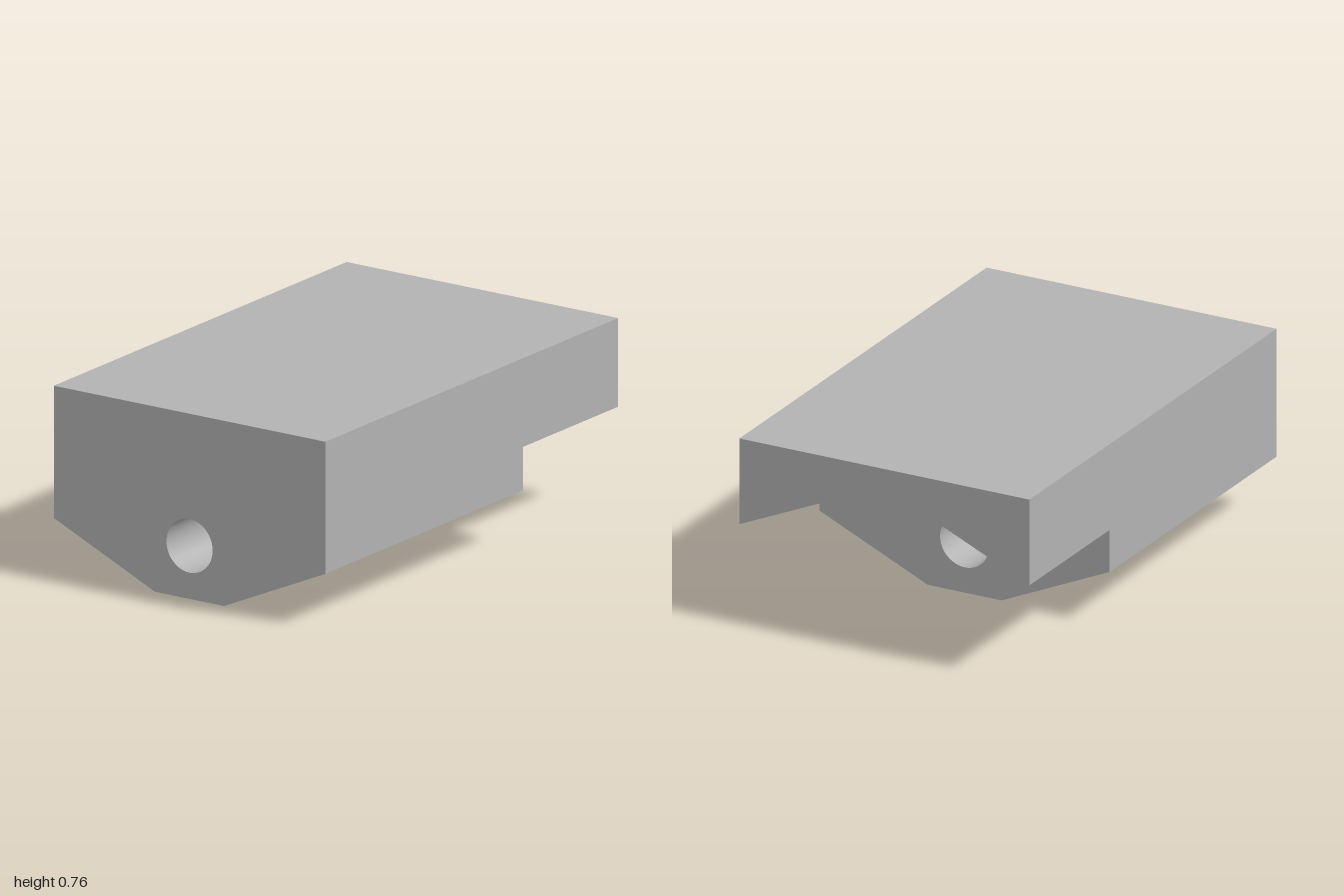
import * as THREE from 'three';
import { mergeGeometries, toCreasedNormals } from 'three/addons/utils/BufferGeometryUtils.js';

const W = 0.648, TOP = 0.758, LEDGE = 0.395;   // half width, top, underside of the overhang
const FRONT = 1, STEP = -0.35, BACK = -1;      // z of the three end faces
const HOLE_Y = 0.217, HOLE_R = 0.11, ARCH_R = 0.426;

const v = (x, y) => new THREE.Vector2(x, y);

// Open wall swept along z; its outside lies to the right of the path
function wall(points, z0, z1) {
  const pos = [];
  for (let i = 0; i < points.length - 1; i++) {
    const a = points[i], b = points[i + 1];
    pos.push(a.x, a.y, z0, b.x, b.y, z0, b.x, b.y, z1);
    pos.push(a.x, a.y, z0, b.x, b.y, z1, a.x, a.y, z1);
  }
  const g = new THREE.BufferGeometry();
  g.setAttribute('position', new THREE.Float32BufferAttribute(pos, 3));
  return g;
}

// Flat end face, optionally pierced, facing +z or -z
function cap(points, z, hole, facesBack) {
  const shape = new THREE.Shape(points);
  if (hole) shape.holes.push(new THREE.Path(hole));
  let g = new THREE.ShapeGeometry(shape);
  if (facesBack) g.setIndex(Array.from(g.index.array).reverse());
  g = g.toNonIndexed();
  g.deleteAttribute('normal');
  g.deleteAttribute('uv');
  return g.translate(0, 0, z);
}

// Points on a circle around the bore axis
function arc(r, from, to, n) {
  return Array.from({ length: n + 1 }, (_, i) => {
    const a = from + (to - from) * i / n;
    return v(r * Math.cos(a), HOLE_Y + r * Math.sin(a));
  });
}

export function createModel() {
  const group = new THREE.Group();
  const grey = new THREE.MeshStandardMaterial({ color: 0xb2b2b2 });
  grey.name = 'grey';

  // Upper and lower outlines, both counter-clockwise
  const upper = [v(W, LEDGE), v(W, TOP), v(-W, TOP), v(-W, LEDGE)];
  const lower = [v(-W, LEDGE), v(-W, 0.217), v(-0.165, 0), v(0.165, 0), v(W, 0.217), v(W, LEDGE)];

  // Arch concentric with the bore, with straight flanks tangent to it
  const dy = LEDGE - HOLE_Y;
  const tangent = Math.atan2(dy, W) + Math.acos(ARCH_R / Math.hypot(W, dy));
  const arch = [v(-W, LEDGE), ...arc(ARCH_R, Math.PI - tangent, tangent, 20), v(W, LEDGE)];

  // Bore, clockwise so that its wall faces the axis
  const bore = arc(HOLE_R, 2 * Math.PI, 0, 48);
  bore[bore.length - 1] = bore[0].clone();
  const boreLoop = bore.slice(0, -1);

  const parts = [
    wall(upper, BACK, FRONT),
    wall(lower, STEP, FRONT),
    wall(arch, BACK, STEP),
    wall(bore, STEP, FRONT),
    cap([...upper, ...lower.slice(1, -1)], FRONT, boreLoop, false),
    cap([...lower, ...arch.slice(1, -1).reverse()], STEP, boreLoop, true),
    cap([...upper, ...arch.slice(1, -1)], BACK, null, true),
  ];
  const block = new THREE.Mesh(toCreasedNormals(mergeGeometries(parts), 0.3), grey);
  block.name = 'boredBlock';
  group.add(block);
  return group;
}
